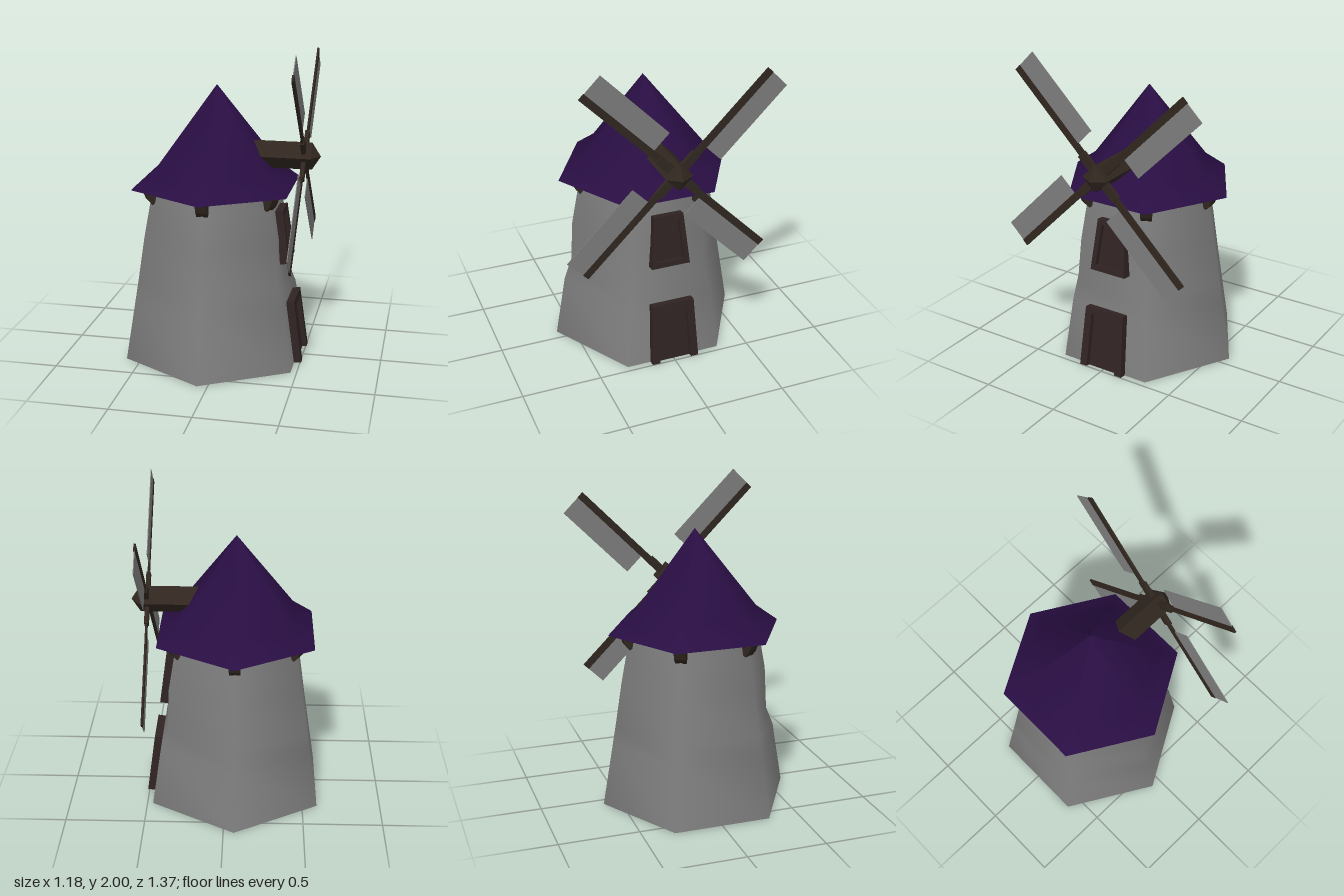
import * as THREE from 'three';
import { mergeVertices } from 'three/addons/utils/BufferGeometryUtils.js';

const material = (name, color, extra = {}) =>
  Object.assign(new THREE.MeshStandardMaterial({ color, ...extra }), { name });

export function createModel() {
  const stone = material('grey stone', 0x7d7d7d, { side: THREE.DoubleSide });
  const purple = material('purple roof', 0x290e43, { side: THREE.DoubleSide });
  const wood = material('dark wood', 0x30261f, { flatShading: true });
  const frameWood = material('door wood', 0x302323, { flatShading: true });
  const cloth = material('sail cloth', 0x7c7c7c);

  const model = new THREE.Group();
  model.name = 'windmill';
  const CX = -0.065; // tower axis

  const add = (parent, name, geometry, mat) => {
    const mesh = new THREE.Mesh(geometry, mat);
    mesh.name = name;
    parent.add(mesh);
    return mesh;
  };
  // six-sided turned shape with corners on the z axis
  const hexLathe = (points) =>
    new THREE.LatheGeometry(points.map(([r, y]) => new THREE.Vector2(r, y)), 6);
  const poly = (points) => points.map(([x, y]) => new THREE.Vector2(x, y));

  // Tower: smooth hexagonal wall, open below, with worn corners half way up
  let wall = hexLathe([[0.61, 0], [0.5425, 0.4], [0.522, 0.52], [0.478, 0.8], [0.44, 1.0], [0.41, 1.15]]);
  const pos = wall.attributes.position;
  for (let i = 0; i < pos.count; i++) {
    const x = pos.getX(i), y = pos.getY(i), z = pos.getZ(i);
    if (Math.abs(y - 0.52) > 0.01) continue;
    let worn = 1;
    if (z > 0.45) worn = 0.945;
    else if (x > 0.3) worn = z < 0 ? 0.945 : 0.97;
    pos.setXYZ(i, x * worn, y, z * worn);
  }
  wall.deleteAttribute('uv');
  wall.deleteAttribute('normal');
  wall = mergeVertices(wall);
  wall.computeVertexNormals();
  add(model, 'tower', wall, stone).position.x = CX;

  // Roof: flared hexagonal cap with a hollow underside
  const roof = new THREE.Group();
  roof.name = 'roof';
  roof.position.x = CX;
  model.add(roof);
  add(roof, 'roofTop', hexLathe([[0.555, 1.115], [0.41, 1.22], [0, 1.74]]), purple);
  add(roof, 'roofUnderside', hexLathe([[0.38, 1.18], [0.42, 1.155], [0.555, 1.112]].reverse()), purple);

  // Brackets below the eave, one on each corner
  const bracketShape = new THREE.Shape(poly([[0.36, 1.06], [0.43, 1.015], [0.455, 1.045], [0.485, 1.12], [0.36, 1.14]]));
  const bracketGeometry = new THREE.ExtrudeGeometry(bracketShape, { depth: 0.07, bevelEnabled: false });
  bracketGeometry.translate(0, 0, -0.035);
  for (let i = 0; i < 6; i++) {
    const bracket = add(model, 'eaveBracket', bracketGeometry, wood);
    bracket.position.x = CX;
    bracket.rotation.y = Math.PI / 6 + (i * Math.PI) / 3;
  }

  // Door and window: tapered frames with recessed panels, leaning with the wall
  const opening = (name, x, y, frameShape, panelPoints) => {
    const group = new THREE.Group();
    group.name = name;
    group.position.set(x, y, 0);
    group.rotation.set(-0.137, Math.PI / 2, 0, 'YXZ');
    model.add(group);
    const frame = new THREE.ExtrudeGeometry(frameShape, { depth: 0.07, bevelEnabled: false });
    frame.translate(0, 0, -0.02);
    add(group, name + 'Frame', frame, frameWood);
    const panel = new THREE.ExtrudeGeometry(new THREE.Shape(poly(panelPoints)), { depth: 0.04, bevelEnabled: false });
    panel.translate(0, 0, -0.02);
    add(group, name + 'Panel', panel, frameWood);
  };
  opening('door', 0.46, 0,
    new THREE.Shape(poly([[-0.155, 0], [-0.105, 0], [-0.092, 0.36], [0.092, 0.36], [0.105, 0],
      [0.155, 0], [0.138, 0.4], [-0.138, 0.4]])),
    [[-0.11, 0], [0.11, 0], [0.1, 0.37], [-0.1, 0.37]]);

  const windowInner = [[-0.09, 0.035], [0.09, 0.035], [0.065, 0.3], [-0.065, 0.3]];
  const windowShape = new THREE.Shape(poly([[-0.125, 0], [0.125, 0], [0.095, 0.335], [-0.095, 0.335]]));
  windowShape.holes.push(new THREE.Path(poly(windowInner)));
  opening('window', 0.366, 0.643, windowShape, windowInner);

  // Shaft: square beam turned on its edge, with a pointed nose
  const HUB_Y = 1.315;
  const shaft = new THREE.Group();
  shaft.name = 'shaft';
  shaft.position.y = HUB_Y;
  model.add(shaft);
  const beam = new THREE.CylinderGeometry(0.086, 0.086, 0.45, 4);
  beam.rotateZ(-Math.PI / 2);
  add(shaft, 'shaftBeam', beam, wood).position.x = 0.305;
  const nose = new THREE.ConeGeometry(0.086, 0.055, 4);
  nose.rotateZ(-Math.PI / 2);
  add(shaft, 'shaftNose', nose, wood).position.x = 0.5575;

  // Sails: four arms on the diagonals, each with a cloth panel on one side
  const sails = new THREE.Group();
  sails.name = 'sails';
  sails.position.set(0.485, HUB_Y, 0);
  model.add(sails);
  for (let i = 0; i < 4; i++) {
    const sail = new THREE.Group();
    sail.name = 'sail';
    sail.rotation.x = Math.PI / 4 + (i * Math.PI) / 2;
    sails.add(sail);
    add(sail, 'armSocket', new THREE.BoxGeometry(0.026, 0.16, 0.055), wood).position.set(0, 0.09, 0);
    add(sail, 'arm', new THREE.BoxGeometry(0.012, 0.71, 0.045), wood).position.set(0, 0.454, -0.004);
    add(sail, 'sailCloth', new THREE.BoxGeometry(0.005, 0.578, 0.155), cloth).position.set(0, 0.519, -0.0825);
  }
  return model;
}
